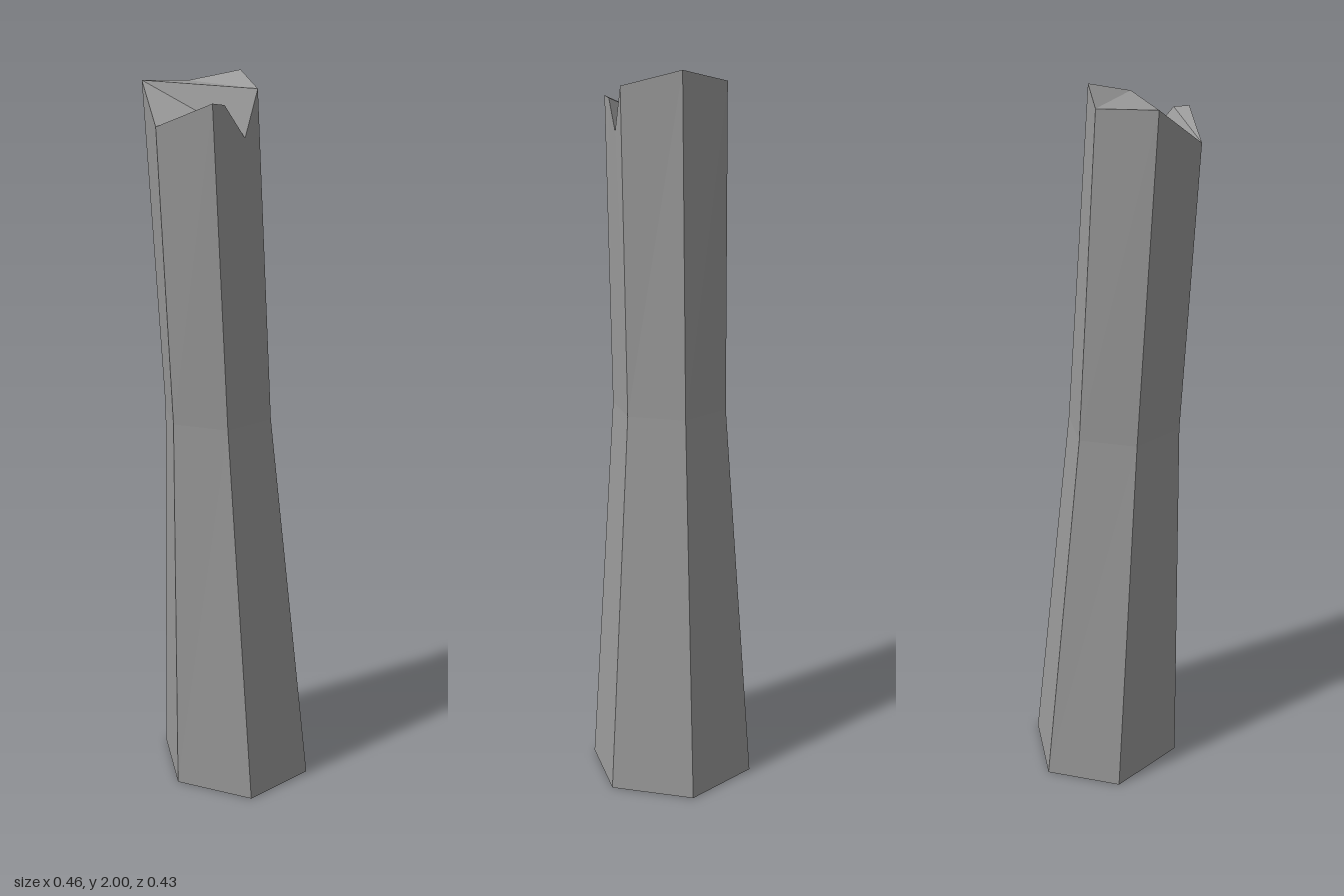
import * as THREE from 'three';

// Six corners per ring as [x, y, z], running clockwise seen from above
const base = [[0.229, 0, 0], [0.123, 0, 0.192], [-0.107, 0, 0.182], [-0.23, 0, -0.025], [-0.125, 0, -0.217], [0.105, 0, -0.205]];
const waist = [[0.12, 1.09, 0.035], [0.046, 1.09, 0.172], [-0.11, 1.09, 0.17], [-0.191, 1.09, 0.03], [-0.118, 1.09, -0.11], [0.038, 1.09, -0.105]];
const rim = [[0.093, 1.96, 0.08], [0.023, 1.93, 0.215], [-0.133, 1.87, 0.202], [-0.228, 1.975, 0.065], [-0.153, 1.97, -0.07], [0, 2, -0.053]];
// Split in the rim between its first two corners
const notch = [0.074, 1.842, 0.121];
const chip = [0.041, 1.925, 0.179];

function facetMesh(name, triangles, material) {
  const geometry = new THREE.BufferGeometry();
  geometry.setAttribute('position', new THREE.Float32BufferAttribute(triangles.flat(2), 3));
  geometry.computeVertexNormals();
  const mesh = new THREE.Mesh(geometry, material);
  mesh.name = name;
  return mesh;
}

// One wall panel between corners i and i + 1 of two rings
function panel(low, high, i) {
  const j = (i + 1) % 6;
  return [[low[j], low[i], high[i]], [low[j], high[i], high[j]]];
}

export function createModel() {
  const material = new THREE.MeshStandardMaterial({ color: 0x999999, flatShading: true });
  const group = new THREE.Group();
  group.name = 'brokenPost';

  // Tapering lower shaft with its underside
  const lower = [];
  for (let i = 0; i < 6; i++) lower.push(...panel(base, waist, i));
  for (let i = 1; i < 5; i++) lower.push([base[0], base[i], base[i + 1]]);
  group.add(facetMesh('lowerShaft', lower, material));

  // Leaning upper shaft; the first panel is cut by the notch
  const upper = [];
  for (let i = 1; i < 6; i++) upper.push(...panel(waist, rim, i));
  upper.push(
    [waist[0], rim[0], notch], [waist[1], waist[0], notch],
    [waist[1], notch, chip], [waist[1], chip, rim[1]],
  );
  group.add(facetMesh('upperShaft', upper, material));

  // Jagged broken top
  const [a, b, c, d, e, f] = rim;
  group.add(facetMesh('brokenTop', [
    [f, e, a], [e, d, a], [d, notch, a],
    [d, c, notch], [c, chip, notch], [c, b, chip],
  ], material));

  return group;
}
